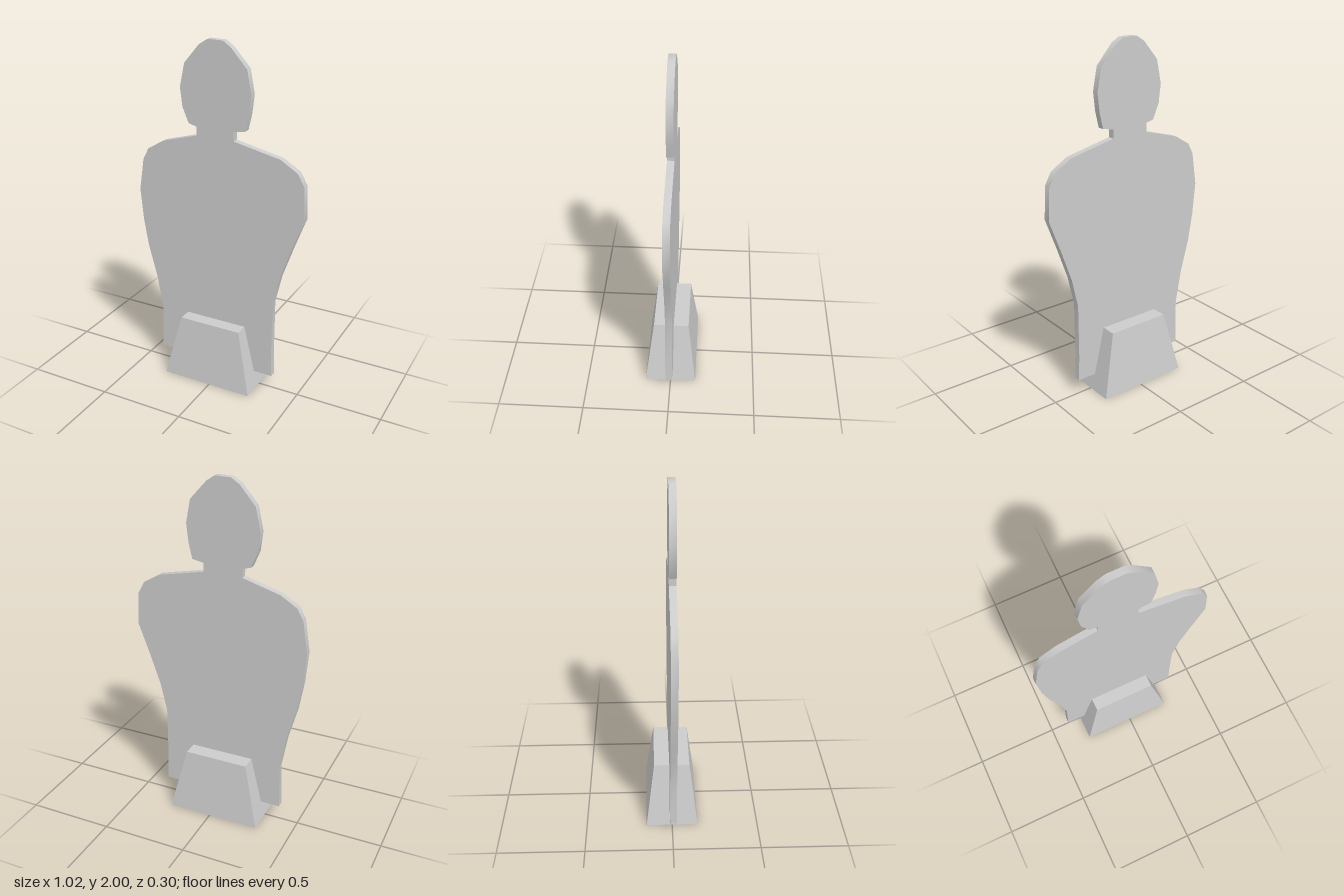
import * as THREE from 'three';
import { toCreasedNormals } from 'three/addons/utils/BufferGeometryUtils.js';

const material = new THREE.MeshStandardMaterial({ color: 0xcccccc });

// Half outlines [x, y], from the top of the head down to the bottom edge
const leftSide = [
  [0.025, 2], [0.07, 1.97], [0.165, 1.865], [0.19, 1.735], [0.178, 1.63], [0.157, 1.54],
  [0.09, 1.527], [0.09, 1.477], [0.363, 1.418], [0.463, 1.357], [0.5, 1.29], [0.51, 1.105],
  [0.442, 0.922], [0.378, 0.737], [0.34, 0.567], [0.34, 0.25], [0.345, 0.093],
];
const rightSide = [
  [-0.065, 2], [-0.114, 1.97], [-0.204, 1.865], [-0.233, 1.733], [-0.22, 1.627], [-0.183, 1.54],
  [-0.135, 1.527], [-0.135, 1.477], [-0.352, 1.415], [-0.447, 1.357], [-0.482, 1.293], [-0.512, 1.105],
  [-0.495, 0.917], [-0.468, 0.758], [-0.415, 0.56], [-0.38, 0.36], [-0.387, 0.093],
];

// Flat torso-and-head board, with its rim smoothed along gentle bends
function makeSilhouette() {
  const points = [...rightSide, ...leftSide.slice().reverse()].map(([x, y]) => new THREE.Vector2(x, y));
  const geometry = new THREE.ExtrudeGeometry(new THREE.Shape(points), { depth: 0.039, bevelEnabled: false });
  geometry.translate(0, 0, -0.014);
  const mesh = new THREE.Mesh(toCreasedNormals(geometry, 0.6), material);
  mesh.name = 'silhouetteBoard';
  return mesh;
}

// Block whose four sides lean inward towards the top
function makeBase() {
  const height = 0.373;
  const box = new THREE.BoxGeometry(0.55, height, 0.3);
  box.translate(0, height / 2, 0);
  const position = box.attributes.position;
  for (let i = 0; i < position.count; i++) {
    if (position.getY(i) > height / 2) {
      position.setX(i, position.getX(i) * 0.68);
      position.setZ(i, position.getZ(i) * 0.68);
    }
  }
  box.computeVertexNormals();
  const mesh = new THREE.Mesh(box, material);
  mesh.name = 'base';
  mesh.position.x = -0.02;
  return mesh;
}

export function createModel() {
  const group = new THREE.Group();
  group.name = 'silhouetteTarget';
  group.add(makeSilhouette(), makeBase());
  return group;
}
